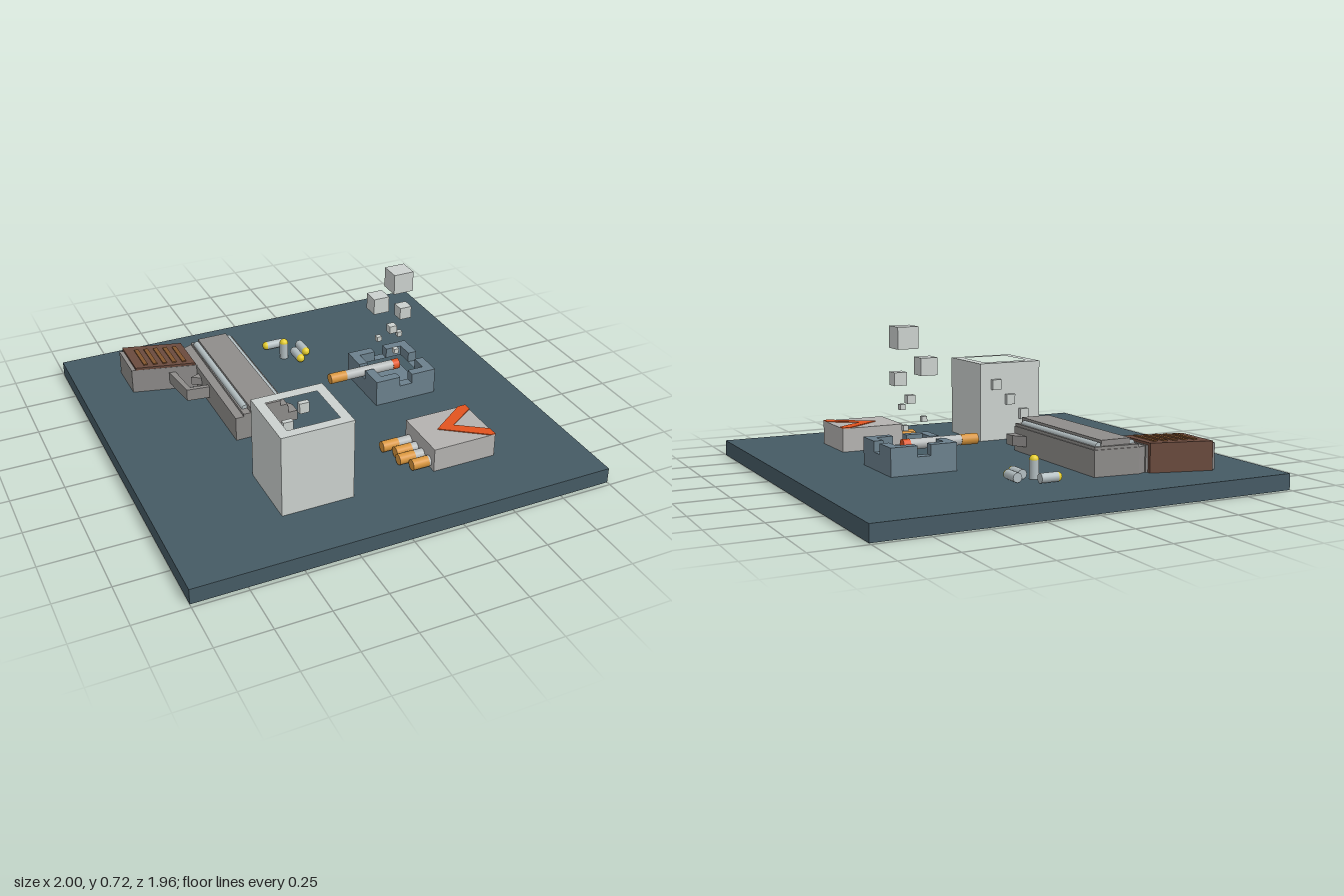
import * as THREE from 'three';

const mats = {};
const mat = (color) => (mats[color] ??= new THREE.MeshStandardMaterial({ color }));
const C = {
  table: 0x455a64, metal: 0x8e8c8a, steel: 0xb4bfc2, wood: 0x6a4a3d, rib: 0x82552e,
  cup: 0xcbd1ce, coffee: 0xdfb57a, tray: 0x6b808c, paper: 0xb8bcbc, pack: 0xb4b2b0,
  filter: 0xd8953c, red: 0xe2531f, brass: 0xe8cf2c, smoke: 0xcbd1ce,
};

function add(parent, name, geometry, color) {
  const mesh = new THREE.Mesh(geometry, mat(color));
  mesh.name = name;
  parent.add(mesh);
  return mesh;
}

function group(parent, name) {
  const g = new THREE.Group();
  g.name = name;
  parent.add(g);
  return g;
}

// Box given by its low and high corners
function box(parent, name, [x0, y0, z0], [x1, y1, z1], color) {
  const g = new THREE.BoxGeometry(x1 - x0, y1 - y0, z1 - z0);
  g.translate((x0 + x1) / 2, (y0 + y1) / 2, (z0 + z1) / 2);
  return add(parent, name, g, color);
}

// Plan outline in (x, z), raised from y0 to y1
function slab(parent, name, outline, y0, y1, color, hole) {
  const toVec = ([x, z]) => new THREE.Vector2(x, -z);
  const shape = new THREE.Shape(outline.map(toVec));
  if (hole) shape.holes.push(new THREE.Path(hole.map(toVec)));
  const g = new THREE.ExtrudeGeometry(shape, { depth: y1 - y0, bevelEnabled: false });
  g.rotateX(-Math.PI / 2).translate(0, y0, 0);
  return add(parent, name, g, color);
}

const rect = (x0, z0, x1, z1) => [[x0, z0], [x1, z0], [x1, z1], [x0, z1]];

// Cylinder along x from x0 to x1
function rodX(parent, name, x0, x1, y, z, r, color) {
  const g = new THREE.CylinderGeometry(r, r, x1 - x0, 16);
  g.rotateZ(Math.PI / 2).translate((x0 + x1) / 2, y, z);
  return add(parent, name, g, color);
}

// Cylinder along z from z0 to z1
function rodZ(parent, name, z0, z1, x, y, r, color, sides = 16) {
  const g = new THREE.CylinderGeometry(r, r, z1 - z0, sides);
  g.rotateX(Math.PI / 2).translate(x, y, (z0 + z1) / 2);
  return add(parent, name, g, color);
}

function buildPistol(root) {
  const p = group(root, 'pistol');
  // Frame and slide
  slab(p, 'frame', [[-0.445, 0.07], [-0.445, -0.46], [-0.45, -0.66], [-0.4, -0.68],
    [-0.18, -0.66], [-0.18, 0.07]], 0.075, 0.195, C.metal);
  slab(p, 'slideTop', rect(-0.37, -0.65, -0.22, 0.07), 0.195, 0.235, C.metal);
  slab(p, 'slideShoulder', [[-0.405, 0.07], [-0.4, -0.675], [-0.185, -0.655], [-0.185, 0.07]], 0.195, 0.208, C.metal);
  for (const x of [-0.38, -0.21]) rodZ(p, 'slideRail', -0.645, 0.025, x, 0.209, 0.017, C.steel);
  rodZ(p, 'muzzle', 0.06, 0.112, -0.297, 0.14, 0.052, C.steel);
  slab(p, 'frontSight', [[-0.18, -0.05], [-0.135, 0.01], [-0.135, 0.07], [-0.18, 0.07]], 0.11, 0.16, C.metal);
  // Trigger and its guard
  slab(p, 'triggerGuard', [[-0.578, -0.5], [-0.555, -0.303], [-0.44, -0.287], [-0.44, -0.31],
    [-0.532, -0.322], [-0.547, -0.49]], 0.11, 0.17, C.metal);
  slab(p, 'trigger', [[-0.49, -0.427], [-0.44, -0.448], [-0.44, -0.395]], 0.12, 0.16, C.metal);
  // Grip with wooden plate, back strap and ribs
  slab(p, 'grip', [[-0.755, -0.755], [-0.44, -0.672], [-0.44, -0.465], [-0.755, -0.545]], 0.075, 0.198, C.metal);
  slab(p, 'gripPlate', [[-0.735, -0.755], [-0.45, -0.68], [-0.45, -0.47], [-0.735, -0.54]], 0.198, 0.21, C.wood);
  slab(p, 'backStrap', [[-0.735, -0.768], [-0.45, -0.692], [-0.45, -0.674], [-0.735, -0.75]], 0.075, 0.21, C.wood);
  for (let i = 0; i < 5; i++) {
    const x = -0.69 + i * 0.046, z = -0.71 + i * 0.0115;
    slab(p, 'gripRib', rect(x, z, x + 0.02, z + 0.16), 0.21, 0.216, C.rib);
  }
}

function buildCup(root) {
  const cup = group(root, 'cup');
  slab(cup, 'cupWall', rect(-0.48, 0.36, -0.14, 0.695), 0.075, 0.47, C.cup, rect(-0.433, 0.412, -0.187, 0.65));
  box(cup, 'drink', [-0.433, 0.075, 0.412], [-0.187, 0.2, 0.65], C.coffee);
  // Stepped studs on the back face
  for (let i = 0; i < 3; i++) {
    const x = -0.225 - i * 0.079, y = 0.362 - i * 0.079;
    box(cup, 'cupStud', [x - 0.024, y - 0.026, 0.338], [x + 0.024, y + 0.026, 0.362], C.cup);
  }
}

function buildAshtray(root) {
  const tray = group(root, 'ashtray');
  const cx = 0.447, cz = -0.093, h = 0.16, inner = 0.115, n = 0.033;
  const square = (s) => rect(cx - s, cz - s, cx + s, cz + s);
  slab(tray, 'trayFloor', square(inner), 0.075, 0.1, C.tray);
  slab(tray, 'trayWall', square(h), 0.075, 0.155, C.tray, square(inner));
  // Corner pieces leave a notch in the middle of each side
  for (const sx of [-1, 1]) for (const sz of [-1, 1]) {
    const corner = [[n, h], [h, h], [h, n], [inner, n], [inner, inner], [n, inner]];
    slab(tray, 'trayCorner', corner.map(([x, z]) => [cx + sx * x, cz + sz * z]), 0.155, 0.205, C.tray);
  }
  // Lit cigarette resting in the notch
  const cig = group(root, 'litCigarette');
  rodX(cig, 'filter', 0.11, 0.195, 0.183, cz, 0.026, C.filter);
  rodX(cig, 'paper', 0.195, 0.45, 0.183, cz, 0.025, C.paper);
  rodX(cig, 'ember', 0.45, 0.485, 0.183, cz, 0.026, C.red);
  // Rising smoke: x, y, z, size
  const puffs = [[0.47, 0.26, -0.095, 0.025], [0.41, 0.307, -0.165, 0.025], [0.483, 0.356, -0.09, 0.025],
    [0.445, 0.39, -0.095, 0.038], [0.495, 0.484, -0.08, 0.06], [0.375, 0.538, -0.114, 0.08], [0.46, 0.667, -0.067, 0.1]];
  const smoke = group(root, 'smoke');
  for (const [x, y, z, s] of puffs) add(smoke, 'smokePuff', new THREE.BoxGeometry(s, s, s), C.smoke).position.set(x, y, z);
}

function buildPack(root) {
  const pack = group(root, 'cigarettePack');
  box(pack, 'packBox', [0.27, 0.075, 0.4], [0.583, 0.19, 0.672], C.pack);
  slab(pack, 'chevron', [[0.362, 0.53], [0.545, 0.4], [0.583, 0.4], [0.583, 0.44], [0.446, 0.53],
    [0.583, 0.625], [0.583, 0.672], [0.56, 0.672]], 0.19, 0.194, C.red);
  for (const [x, z] of [[0.125, 0.44], [0.16, 0.503], [0.145, 0.562], [0.18, 0.625]]) {
    rodX(pack, 'filter', x, x + 0.08, 0.106, z, 0.026, C.filter);
    rodX(pack, 'paper', x + 0.08, 0.28, 0.106, z, 0.025, C.paper);
  }
}

// Cartridge standing on its base, tip upward
function buildBullet(root) {
  const b = group(root, 'bullet');
  add(b, 'casing', new THREE.CylinderGeometry(0.022, 0.022, 0.085, 16).translate(0, 0.0425, 0), C.steel);
  add(b, 'tip', new THREE.SphereGeometry(0.022, 16, 10).translate(0, 0.085, 0), C.brass);
  return b;
}

export function createModel() {
  const root = new THREE.Group();
  root.name = 'tableScene';
  box(root, 'tableTop', [-1, 0, -0.98], [1, 0.075, 0.98], C.table);
  buildPistol(root);
  buildCup(root);
  buildAshtray(root);
  buildPack(root);
  // One standing and three lying bullets
  buildBullet(root).position.set(0.065, 0.075, -0.56);
  const lying = buildBullet(root);
  lying.position.set(0.097, 0.1, -0.668);
  lying.rotation.z = Math.PI / 2;
  for (const [x, z] of [[0.122, -0.56], [0.175, -0.615]]) {
    const b = buildBullet(root);
    b.position.set(x, 0.1, z);
    b.rotation.x = Math.PI / 2;
  }
  return root;
}
